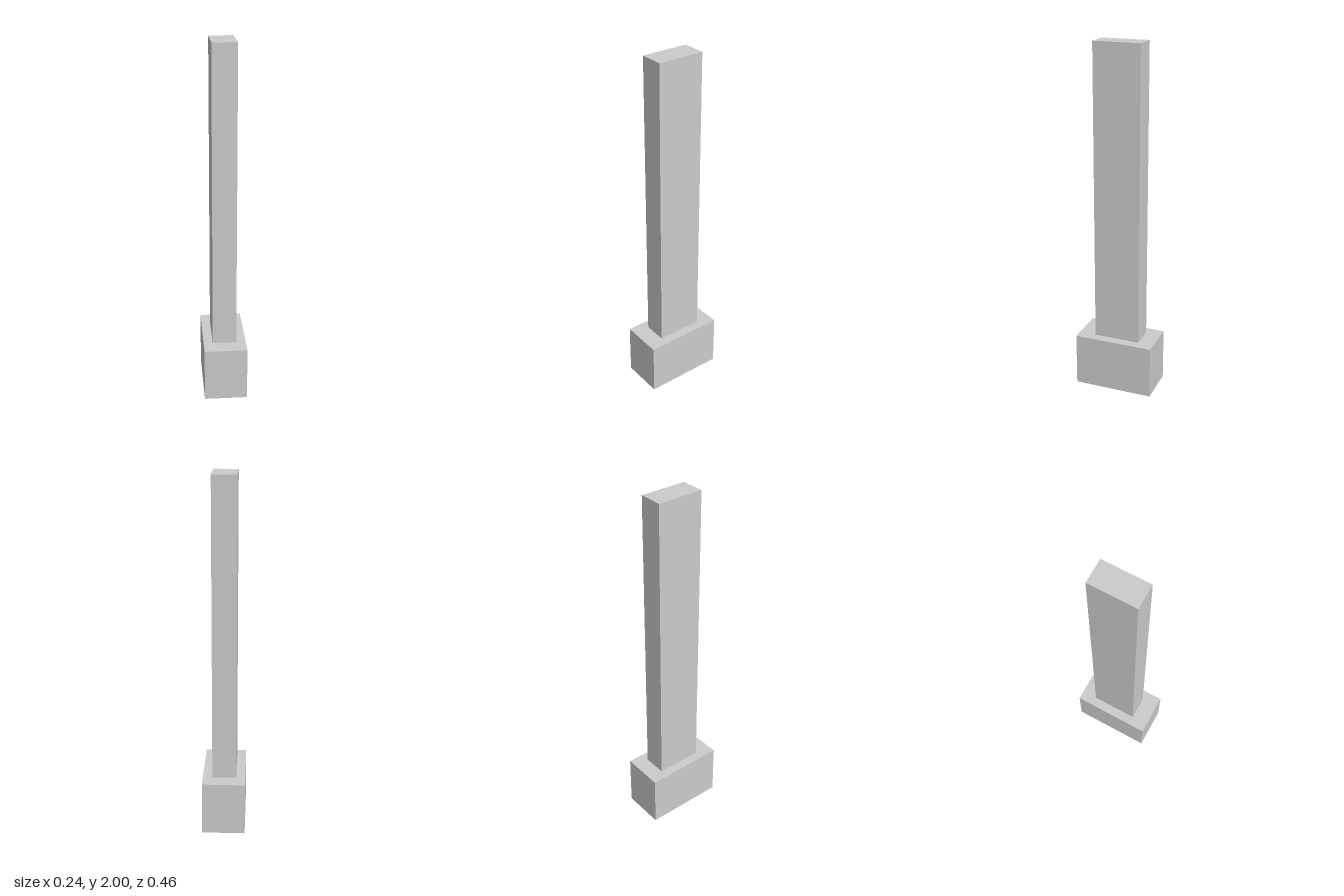
import * as THREE from 'three';

const material = new THREE.MeshStandardMaterial({ color: 0xcccccc, flatShading: true });

// Box standing on height y
function block(name, width, height, depth, x, y, z) {
  const mesh = new THREE.Mesh(new THREE.BoxGeometry(width, height, depth), material);
  mesh.name = name;
  mesh.position.set(x, y + height / 2, z);
  return mesh;
}

export function createModel() {
  const group = new THREE.Group();
  group.name = 'pillar';
  const baseHeight = 0.305;

  // Wide plinth at the foot
  group.add(block('base', 0.242, baseHeight, 0.456, 0, 0, 0));

  // Tall rectangular shaft, set very slightly towards the back
  group.add(block('shaft', 0.135, 2 - baseHeight, 0.266, -0.001, baseHeight, -0.004));

  return group;
}
